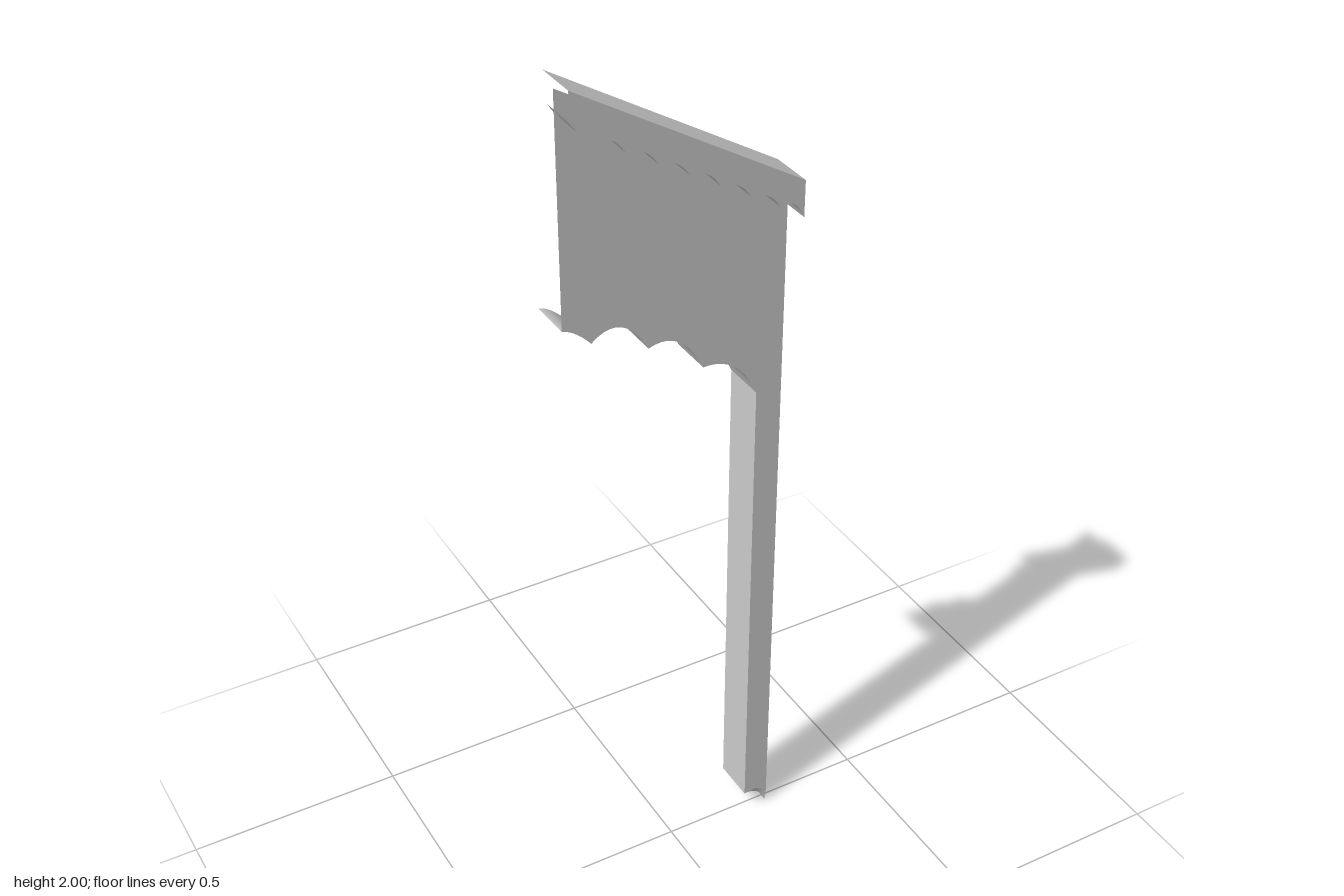
import * as THREE from 'three';

const FRONT = 0.02, BACK = -0.08, INNER = 0.19, OUTER = 0.25;

// Surface spanned between two matching rows of [x, y, z] points
function loft(rowA, rowB) {
  const n = rowA.length, index = [];
  for (let i = 0; i < n - 1; i++) index.push(i, n + i, i + 1, i + 1, n + i, n + i + 1);
  const g = new THREE.BufferGeometry();
  g.setAttribute('position', new THREE.Float32BufferAttribute([...rowA, ...rowB].flat(), 3));
  g.setIndex(index);
  g.computeVertexNormals();
  return g;
}

const atZ = (pts, z) => pts.map(([x, y]) => [x, y, z]);

// Arc through three points, bulging towards the middle one
function arc(a, m, b, steps = 10) {
  const c = [2 * m[0] - (a[0] + b[0]) / 2, 2 * m[1] - (a[1] + b[1]) / 2];
  return Array.from({ length: steps + 1 }, (_, i) => {
    const t = i / steps, u = 1 - t;
    return [0, 1].map(k => u * u * a[k] + 2 * u * t * c[k] + t * t * b[k]);
  });
}

// Flat face from an outline, at depth z
function face(pts, z) {
  const g = new THREE.ShapeGeometry(new THREE.Shape(pts.map(p => new THREE.Vector2(...p))));
  return g.translate(0, 0, z);
}

export function createModel() {
  const group = new THREE.Group();
  const material = new THREE.MeshStandardMaterial({ color: 0xcccccc, side: THREE.DoubleSide });
  const add = (name, geometry) => {
    const mesh = new THREE.Mesh(geometry, material);
    mesh.name = name;
    group.add(mesh);
  };

  // Scalloped lower edge of the panel, stepping down to the post
  const scallops = [
    arc([-0.25, 1.48], [-0.222, 1.467], [-0.188, 1.435]),
    arc([-0.188, 1.435], [-0.122, 1.452], [-0.0625, 1.385]),
    arc([-0.0625, 1.385], [0.006, 1.379], [0.0625, 1.302]),
    arc([0.0625, 1.302], [0.136, 1.28], [INNER, 1.2]),
  ];
  scallops.forEach(s => add('scallopSoffit', loft(atZ(s, FRONT), atZ(s, BACK))));

  // Foot of the post: upper edge of the bevel and the lower edge
  const footLow = [
    ...arc([INNER, 0.055], [0.197, 0.053], [0.203, 0.05], 3),
    ...arc([0.203, 0.05], [0.23, 0.038], [OUTER, 0.005], 8),
  ];
  const footHigh = footLow.map(([x, y]) => [x, y + 0.025 * (x - INNER) / (OUTER - INNER)]);
  const inset = 0.005;

  // Front panel and post front, cut as one sheet
  add('frontPanel', face([
    ...scallops.flat(), ...footHigh, [OUTER, 1.68], [-0.25, 1.98],
  ], FRONT));

  // Post back and side walls
  add('postBack', face([...footHigh, [OUTER, 1.17], [INNER, 1.2]], BACK));
  const outer = face([
    [FRONT, 1.68], [FRONT, 0.03], [FRONT - inset, 0.005],
    [BACK + inset, 0.005], [BACK, 0.03], [BACK, 1.68],
  ], 0);
  add('postOuterWall', outer.rotateY(-Math.PI / 2).translate(OUTER, 0, 0));
  const wall = [[INNER, 1.2], [INNER, 0.055]];
  add('postInnerWall', loft(atZ(wall, FRONT), atZ(wall, BACK)));

  // Bevelled foot
  add('footFrontBevel', loft(atZ(footHigh, FRONT), atZ(footLow, FRONT - inset)));
  add('footBackBevel', loft(atZ(footLow, BACK + inset), atZ(footHigh, BACK)));
  add('footUnderside', loft(atZ(footLow, FRONT - inset), atZ(footLow, BACK + inset)));

  // Sloping roof strip
  const roof = [[-0.25, 2], [0.25, 1.7]];
  add('roofStrip', loft(atZ(roof, 0.08), atZ(roof, -0.02)));

  // Small waves along the underside of the valance
  const cusp = k => [-0.205 + 0.0667 * k, 1.893 - 0.0395 * k];
  const waves = [arc([-0.25, 1.94], [-0.23, 1.912], cusp(0), 6)];
  for (let k = 0; k < 6; k++) {
    const a = cusp(k), b = cusp(k + 1);
    waves.push(arc(a, [(a[0] + b[0]) / 2 + 0.003, (a[1] + b[1]) / 2 + 0.013], b, 8));
  }
  waves.push(arc(cusp(6), [0.226, 1.655], [0.25, 1.62], 6));
  waves.forEach(w => add('valanceSoffit', loft(atZ(w, 0.08), atZ(w, -0.005))));

  // Valance front
  add('valanceFront', face([...waves.flat(), [0.25, 1.7], [-0.25, 2]], 0.08));

  return group;
}
